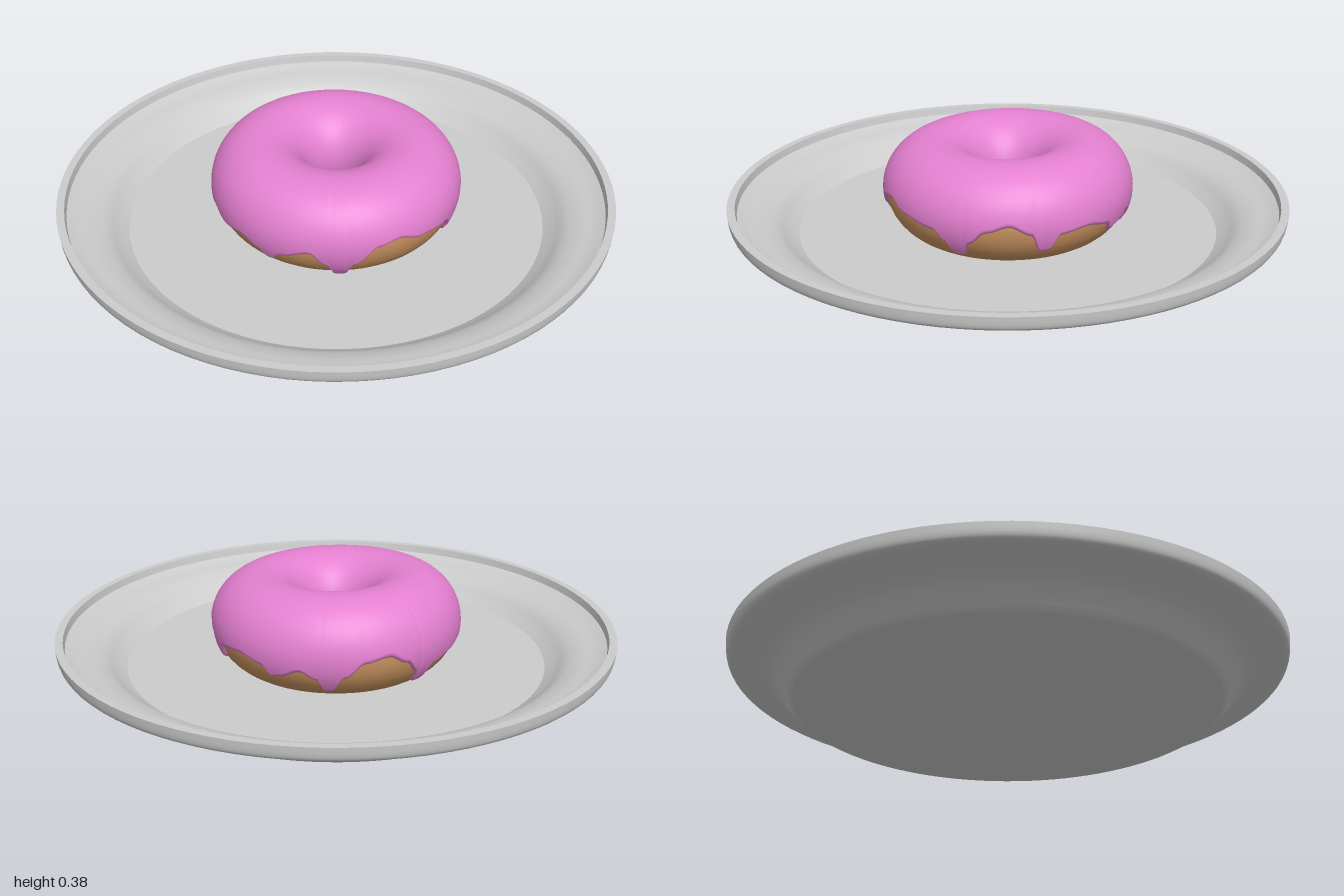
import * as THREE from 'three';

const ceramic = new THREE.MeshStandardMaterial({ color: 0xcccccc });
ceramic.name = 'ceramic grey';
const icingPink = new THREE.MeshStandardMaterial({ color: 0xe480d0 });
icingPink.name = 'icing pink';
const doughBrown = new THREE.MeshStandardMaterial({ color: 0xc8925f });
doughBrown.name = 'dough brown';

const RING = 0.27, CENTRE_Y = 0.196, ICING_R = 0.18, DOUGH_R = 0.168;

// Lower edge of the icing: [degrees from +z towards +x, height]
const EDGE = [
  [-30, 0.1], [-24, 0.14], [-11, 0.172], [-3, 0.12], [1, 0.05], [5, 0.05], [9, 0.12],
  [20, 0.19], [30, 0.205], [42, 0.175], [60, 0.16], [66, 0.12], [69, 0.07], [73, 0.07],
  [77, 0.13], [85, 0.18], [95, 0.205], [105, 0.17], [109, 0.1], [113, 0.1], [118, 0.16],
  [132, 0.17], [145, 0.15], [149, 0.11], [153, 0.12], [163, 0.15], [171, 0.12], [174, 0.07],
  [177, 0.07], [183, 0.13], [192, 0.185], [203, 0.2], [212, 0.165], [218, 0.12], [220, 0.065],
  [224, 0.065], [228, 0.12], [242, 0.135], [258, 0.15], [268, 0.13], [272, 0.075], [275, 0.075],
  [280, 0.14], [290, 0.165], [300, 0.14], [315, 0.16], [325, 0.13], [328, 0.1], [330, 0.1],
];

function edgeHeight(deg) {
  const a = deg > 330 ? deg - 360 : deg;
  const i = Math.max(1, EDGE.findIndex(([k]) => k >= a));
  const [a0, y0] = EDGE[i - 1], [a1, y1] = EDGE[i];
  return THREE.MathUtils.lerp(y0, y1, THREE.MathUtils.smoothstep(a, a0, a1));
}

// Icing shell: cross-sections wrapped over the ring, with rounded lips at both edges
function icingGeometry() {
  const cols = 288, lipRows = 8, midRows = 32, lip = 0.13;
  const rows = lipRows * 2 + midRows + 1;
  const positions = [], index = [];
  for (let c = 0; c < cols; c++) {
    const deg = (c / cols) * 360, phi = THREE.MathUtils.degToRad(deg);
    const start = Math.asin((edgeHeight(deg) - CENTRE_Y) / ICING_R);
    const end = Math.PI + 0.45 + 0.12 * Math.sin(phi * 5);
    for (let r = 0; r < rows; r++) {
      const k = Math.min(r, rows - 1 - r);
      let t, minor = ICING_R;
      if (k < lipRows) {
        const q = (k / lipRows) * Math.PI / 2;
        const d = lip * (1 - Math.cos(q));
        t = r < rows / 2 ? start + d : end - d;
        minor = 0.157 + (ICING_R - 0.157) * Math.sin(q);
      } else {
        t = THREE.MathUtils.lerp(start + lip, end - lip, (r - lipRows) / midRows);
      }
      const rad = RING + minor * Math.cos(t);
      const x = rad * Math.sin(phi), z = rad * Math.cos(phi);
      const tilt = Math.max(0, Math.sin(t)) * (-0.015 * x - 0.012 * z);
      positions.push(x, CENTRE_Y + minor * Math.sin(t) + tilt, z);
      if (r < rows - 1) {
        const a = c * rows + r, b = ((c + 1) % cols) * rows + r;
        index.push(a, b, a + 1, b, b + 1, a + 1);
      }
    }
  }
  const g = new THREE.BufferGeometry();
  g.setAttribute('position', new THREE.Float32BufferAttribute(positions, 3));
  g.setIndex(index);
  g.computeVertexNormals();
  return g;
}

// Lathed section of the plate; separate sections keep the edges between them crisp
function plateSection(name, pairs, steps = 0) {
  let pts = pairs.map(([r, y]) => new THREE.Vector2(r, y));
  if (steps) pts = new THREE.SplineCurve(pts).getPoints(steps);
  const mesh = new THREE.Mesh(new THREE.LatheGeometry(pts, 96), ceramic);
  mesh.name = name;
  return mesh;
}

export function createModel() {
  const model = new THREE.Group();
  model.name = 'donutOnPlate';

  // Plate
  const plate = new THREE.Group();
  plate.name = 'plate';
  plate.add(
    plateSection('plateBase', [[0, 0], [0.76, 0]]),
    plateSection('plateOuterWall', [[0.76, 0], [0.775, 0.01], [0.8, 0.04], [0.835, 0.075],
      [0.88, 0.096], [0.94, 0.107], [0.98, 0.118], [0.995, 0.135], [1, 0.172]], 28),
    plateSection('plateRim', [[1, 0.172], [0.972, 0.172]]),
    plateSection('plateRimStep', [[0.972, 0.172], [0.967, 0.145]]),
    plateSection('plateInnerWall', [[0.967, 0.145], [0.93, 0.132], [0.88, 0.122],
      [0.83, 0.102], [0.79, 0.07], [0.755, 0.045]], 20),
    plateSection('plateFloor', [[0.755, 0.045], [0, 0.045]]),
  );
  model.add(plate);

  // Donut
  const donut = new THREE.Group();
  donut.name = 'donut';
  const dough = new THREE.Mesh(new THREE.TorusGeometry(RING, DOUGH_R, 40, 96), doughBrown);
  dough.name = 'dough';
  dough.rotation.x = Math.PI / 2;
  dough.position.y = CENTRE_Y;
  const icing = new THREE.Mesh(icingGeometry(), icingPink);
  icing.name = 'icing';
  donut.add(dough, icing);
  model.add(donut);

  return model;
}
